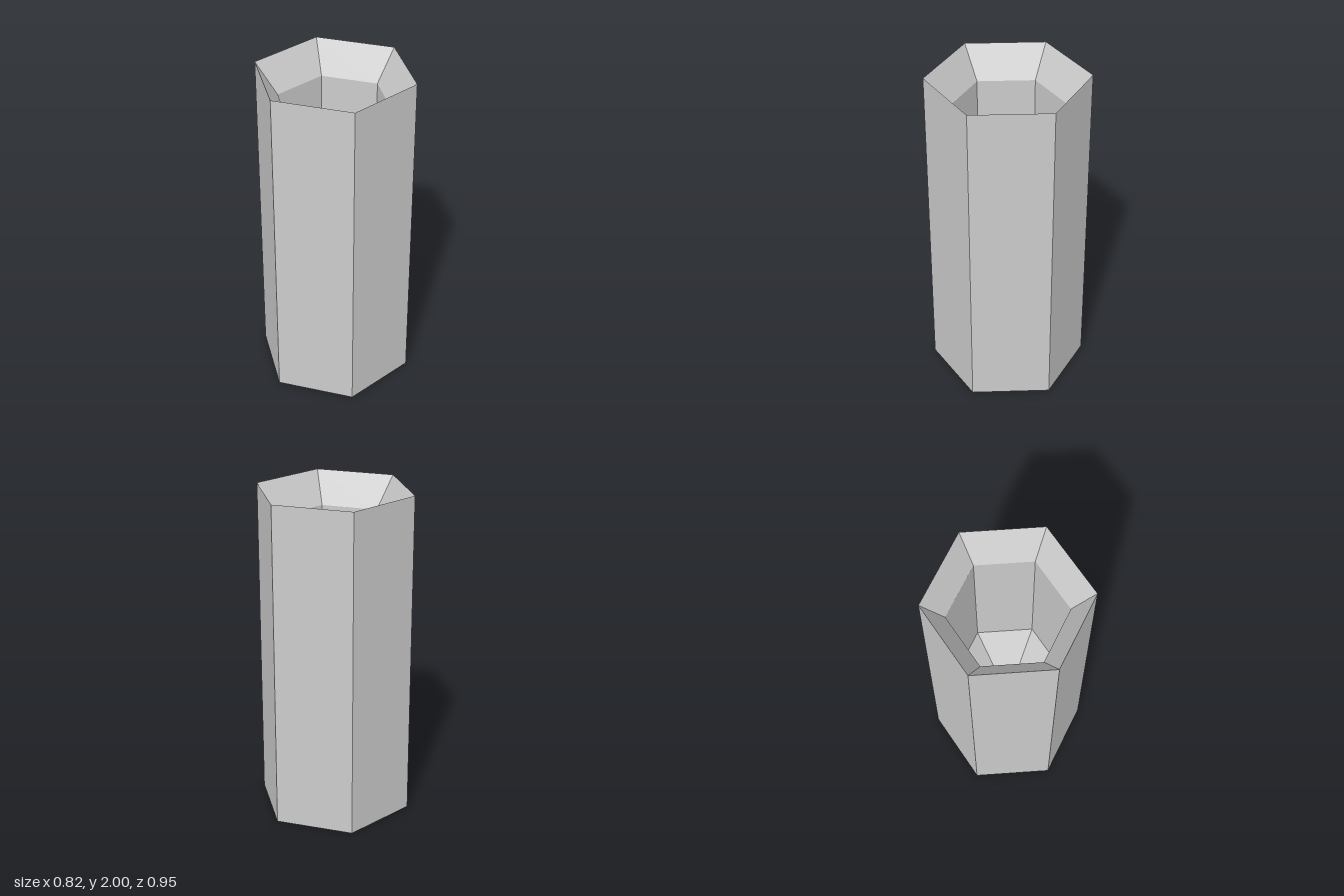
import * as THREE from 'three';

const R = 0.475;      // outer corner radius
const BORE = 0.342;   // corner radius of the hollow
const SIDES = 6;

// Six-sided turned surface from [radius, height] pairs; corners fall on the z axis
function hexSurface(name, profile, material) {
  const points = profile.map(([r, y]) => new THREE.Vector2(r, y));
  const mesh = new THREE.Mesh(new THREE.LatheGeometry(points, SIDES), material);
  mesh.name = name;
  return mesh;
}

export function createModel() {
  const group = new THREE.Group();
  group.name = 'hollowHexColumn';
  const material = new THREE.MeshStandardMaterial({ color: 0xcccccc, flatShading: true });

  group.add(
    // Closed base and upright outer walls
    hexSurface('outerShell', [[0, 0], [R, 0], [R, 2]], material),
    // Sloping mouth, running in from the sharp rim
    hexSurface('bevelledMouth', [[R, 2], [BORE, 1.81]], material),
    // Upright inner walls
    hexSurface('boreWalls', [[BORE, 1.81], [BORE, 0.8]], material),
    // Pointed floor of the hollow
    hexSurface('boreFloor', [[BORE, 0.8], [0, 0.4]], material),
  );
  return group;
}
